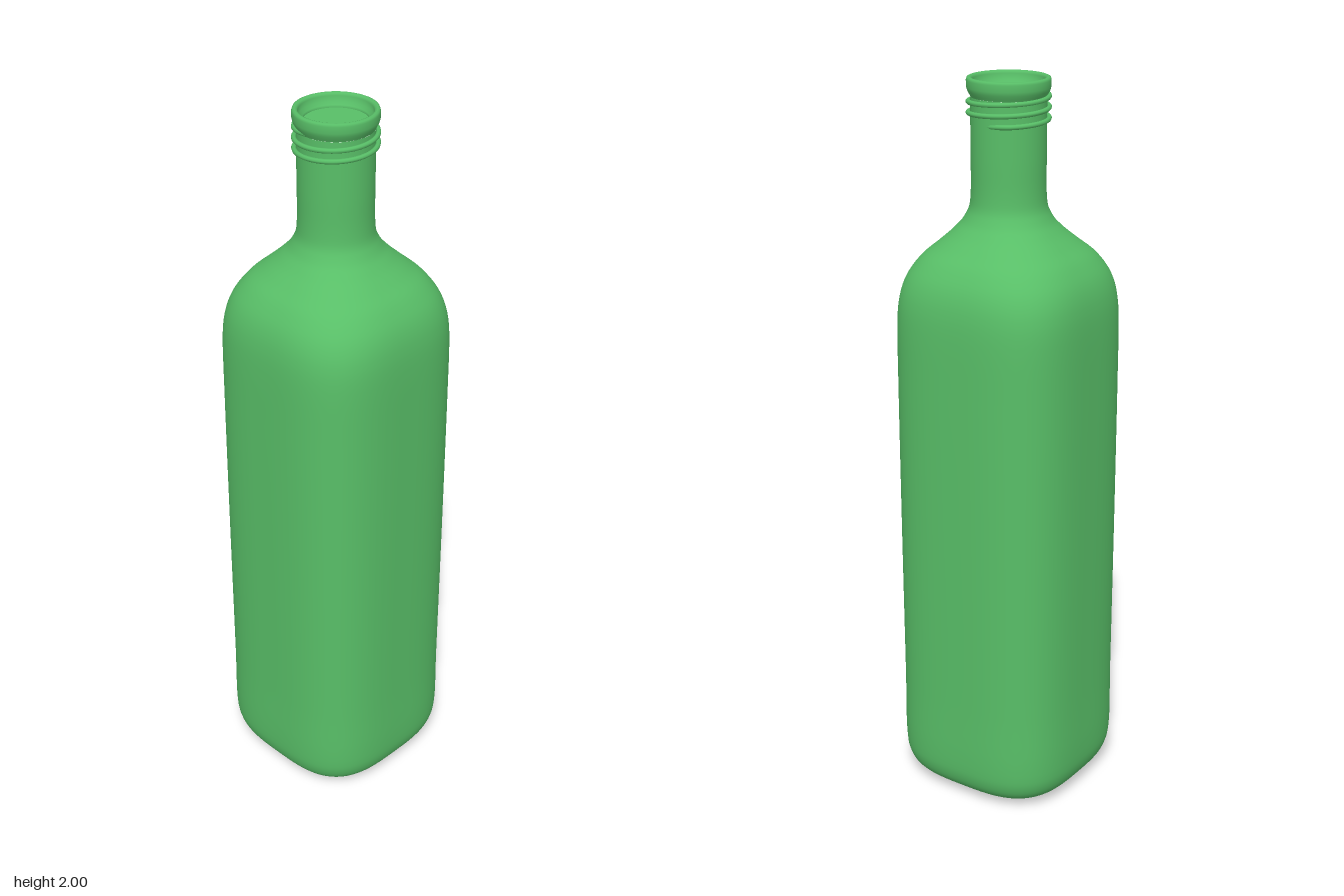
import * as THREE from 'three';

// Smooth skin through rounded-square sections: each section is [half width, y, squareness]
function skin(sections, sides) {
  const pos = [], index = [];
  for (const s of sections) {
    for (let i = 0; i < sides; i++) {
      const a = (i / sides) * Math.PI * 2;
      const sn = Math.sin(a), cs = Math.cos(a);
      const r = s.x / Math.pow(Math.abs(sn) ** s.z + Math.abs(cs) ** s.z, 1 / s.z);
      pos.push(r * sn, s.y, r * cs);
    }
  }
  for (let j = 0; j < sections.length - 1; j++) {
    for (let i = 0; i < sides; i++) {
      const a = j * sides + i, b = j * sides + (i + 1) % sides;
      index.push(a, b, a + sides, b, b + sides, a + sides);
    }
  }
  const g = new THREE.BufferGeometry();
  g.setAttribute('position', new THREE.Float32BufferAttribute(pos, 3));
  g.setIndex(index);
  g.computeVertexNormals();
  return g;
}

class ThreadCurve extends THREE.Curve {
  getPoint(t, target = new THREE.Vector3()) {
    const a = Math.PI / 2 + t * Math.PI * 2 * 2.5;
    // ends sink into the neck
    const r = 0.104 - 0.012 * Math.max(0, 1 - Math.min(t, 1 - t) / 0.04);
    return target.set(r * Math.sin(a), 1.885 + t * 0.07, r * Math.cos(a));
  }
}

export function createModel() {
  const group = new THREE.Group();
  const glass = new THREE.MeshStandardMaterial({ color: 0x58be67 });
  const add = (name, geometry) => {
    const m = new THREE.Mesh(geometry, glass);
    m.name = name;
    group.add(m);
  };

  // Body: base, straight square sides, shoulder and round neck
  const profile = [
    [0.2, 0.018, 3.2], [0.225, 0.025, 3.2], [0.245, 0.045, 3.2], [0.257, 0.075, 3.2],
    [0.262, 0.12, 3.2], [0.262, 0.3, 3.2], [0.263, 0.75, 3.2], [0.263, 1.2, 3.2],
    [0.262, 1.36, 3.2], [0.258, 1.42, 3.15], [0.244, 1.48, 3.0], [0.215, 1.53, 2.8],
    [0.175, 1.57, 2.5], [0.14, 1.605, 2.25], [0.114, 1.64, 2.05], [0.102, 1.67, 2],
    [0.0985, 1.71, 2], [0.0985, 1.8, 2], [0.0985, 1.95, 2],
  ].map((p) => new THREE.Vector3(...p));
  const body = new THREE.CatmullRomCurve3(profile, false, 'centripetal').getPoints(90);
  add('body', skin(body, 96));

  // Gently bulging underside
  const under = [[0.0005, 0, 3.2], [0.06, 0.004, 3.2], [0.13, 0.011, 3.2], [0.2, 0.018, 3.2]];
  add('underside', skin(under.map((p) => new THREE.Vector3(...p)), 96));

  // Lip with rounded rim, stepped mouth and inner floor
  const lip = [
    [0.098, 1.95], [0.101, 1.956], [0.106, 1.965], [0.109, 1.975], [0.109, 1.992],
    [0.107, 1.998], [0.102, 2], [0.096, 1.998], [0.093, 1.992], [0.092, 1.978],
    [0.083, 1.972], [0.083, 1.965], [0.083, 1.965], [0.0, 1.965],
  ].map((p) => new THREE.Vector2(...p));
  add('lip', new THREE.LatheGeometry(lip, 64));

  // Screw thread around the neck
  add('screwThread', new THREE.TubeGeometry(new ThreadCurve(), 180, 0.0065, 8, false));

  return group;
}
